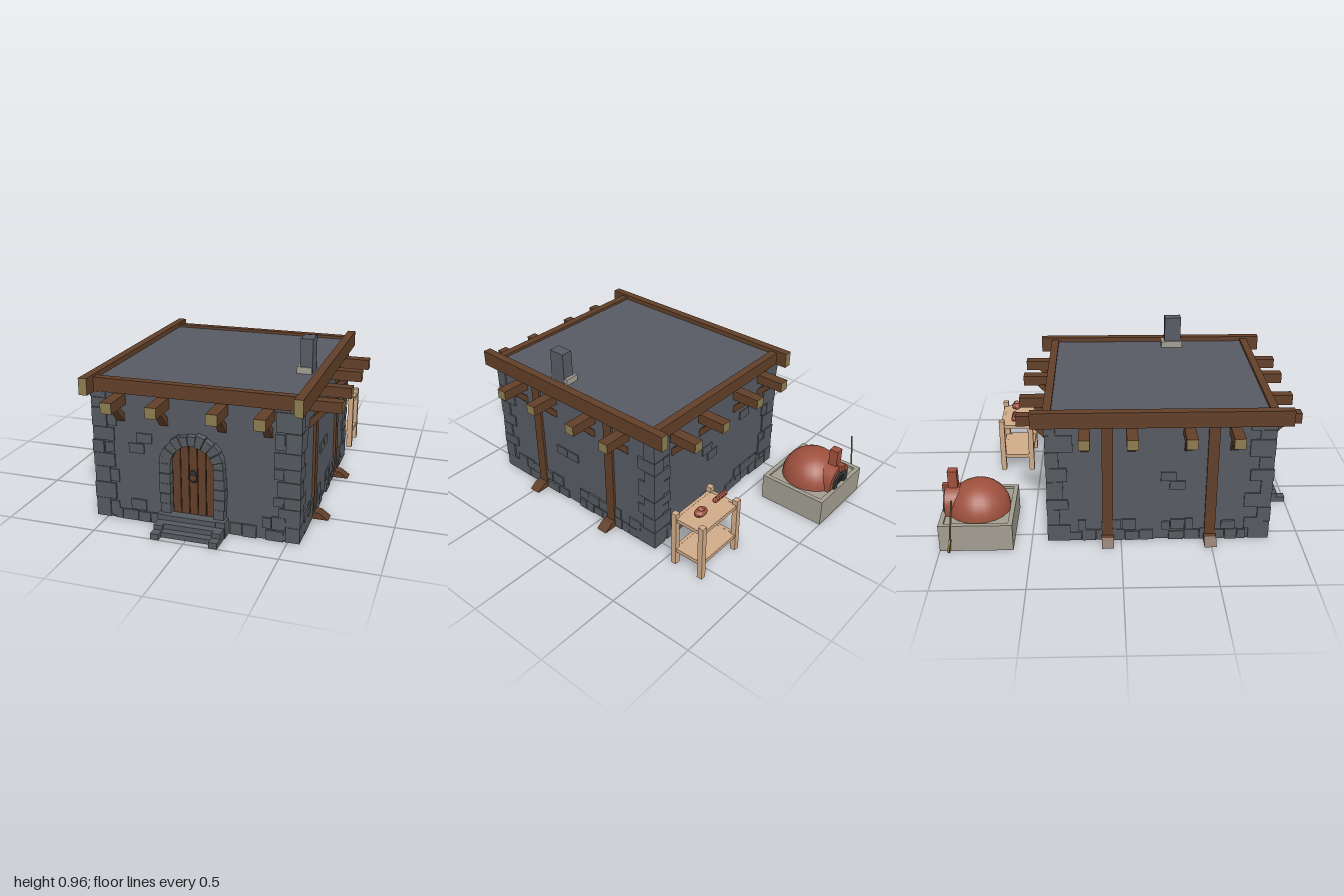
import * as THREE from 'three';

const mat = (name, color, extra = {}) => {
  const m = new THREE.MeshStandardMaterial({ color, flatShading: true, ...extra });
  m.name = name;
  return m;
};

export function createModel() {
  const M = {
    wall: mat('slate wall', 0x575a63),
    stone: mat('cut stone', 0x555a5f),
    wood: mat('dark wood', 0x613f28),
    endGrain: mat('end grain', 0x8d7c50),
    pale: mat('pale stone', 0xa19d90),
    brick: mat('red clay', 0x9e503d),
    tan: mat('light wood', 0xcfaa88),
    dark: mat('soot', 0x241c18),
    iron: mat('iron', 0x36393c),
  };
  const clay = mat('smooth clay', 0x9e503d);
  clay.flatShading = false;

  let seed = 11;
  const rnd = (a, b) => {
    seed = (seed * 16807) % 2147483647;
    return a + (b - a) * (seed / 2147483647);
  };
  const add = (parent, name, geo, m, x = 0, y = 0, z = 0) => {
    const o = new THREE.Mesh(geo, m);
    o.name = name;
    o.position.set(x, y, z);
    parent.add(o);
    return o;
  };
  // box given by its min and max corners
  const box = (p, name, m, x0, x1, y0, y1, z0, z1) =>
    add(p, name, new THREE.BoxGeometry(x1 - x0, y1 - y0, z1 - z0), m,
      (x0 + x1) / 2, (y0 + y1) / 2, (z0 + z1) / 2);
  const group = (p, name, x = 0, y = 0, z = 0, ry = 0) => {
    const g = new THREE.Group();
    g.name = name;
    g.position.set(x, y, z);
    g.rotation.y = ry;
    p.add(g);
    return g;
  };
  const extrude = (shape, depth) =>
    new THREE.ExtrudeGeometry(shape, { depth, bevelEnabled: false, curveSegments: 12 });
  const poly = (pts) => new THREE.Shape(pts.map(([x, y]) => new THREE.Vector2(x, y)));
  // profile (outward, up) extruded along the wall, centred on u
  const wallProfile = (p, name, pts, m, u, w) => {
    const o = add(p, name, extrude(poly(pts), w), m, u + w / 2, 0, 0);
    o.rotation.y = -Math.PI / 2;
    return o;
  };
  const archShape = (r, y0, yc) => {
    const s = new THREE.Shape();
    s.moveTo(-r, y0);
    s.lineTo(r, y0);
    s.lineTo(r, yc);
    s.absarc(0, yc, r, 0, Math.PI, false);
    s.lineTo(-r, y0);
    return s;
  };
  const endCapped = [M.wood, M.wood, M.wood, M.wood, M.endGrain, M.endGrain];

  const root = new THREE.Group();
  root.name = 'bakery';
  const house = group(root, 'house', 0, 0, 0.21);
  const HX = 0.555, HZ = 0.61;

  // four walls, each built facing outward along its local z
  const sides = [
    { name: 'front', ry: 0, half: HX, d: HZ, vigas: [-0.4, -0.16, 0.155, 0.395], posts: [],
      loose: [[-0.27, 0.475], [-0.315, 0.415]], gap: 0.19, fill: 0.4 },
    { name: 'left', ry: Math.PI / 2, half: HZ, d: HX, vigas: [-0.395, -0.15, 0.155, 0.405],
      posts: [-0.285, 0.285], loose: [[-0.1, 0.335], [-0.01, 0.335]], gap: 0, fill: 0.85 },
    { name: 'back', ry: Math.PI, half: HX, d: HZ, vigas: [-0.395, -0.155, 0.16, 0.4], posts: [],
      loose: [[-0.1, 0.43], [-0.05, 0.375], [0.25, 0.5]], gap: 0, fill: 0.6 },
    { name: 'right', ry: -Math.PI / 2, half: HZ, d: HX, vigas: [-0.405, -0.155, 0.15, 0.395],
      posts: [-0.285, 0.285], loose: [[0.05, 0.4], [0.1, 0.345]], gap: 0, fill: 0.85 },
  ];
  for (const s of sides) {
    const g = group(house, s.name + 'Wall', 0, 0, 0, s.ry);
    const { half, d } = s;
    box(g, 'wallPanel', M.wall, -half, half, 0, 0.72, d - 0.015, d);
    // ceiling beam ends with diagonal braces
    for (const u of s.vigas) {
      box(g, 'beamEnd', endCapped, u - 0.03, u + 0.03, 0.652, 0.71, d - 0.05, d + 0.168);
      wallProfile(g, 'brace',
        [[d - 0.01, 0.56], [d + 0.005, 0.56], [d + 0.095, 0.655], [d + 0.055, 0.655], [d - 0.01, 0.595]],
        M.wood, u, 0.042);
    }
    // wall posts with wedge feet
    for (const u of s.posts) {
      box(g, 'post', M.wood, u - 0.03, u + 0.03, 0, 0.72, d - 0.03, d + 0.014);
      wallProfile(g, 'postFoot',
        [[d - 0.02, 0], [d + 0.095, 0], [d + 0.045, 0.036], [d - 0.02, 0.036]], M.wood, u, 0.068);
    }
    // loose stones in the wall
    for (const [u, y] of s.loose)
      box(g, 'wallStone', M.stone, u - 0.045, u + 0.04, y - 0.025, y + 0.028, d - 0.03, d + 0.007);
    // two rough rows of stones along the foot
    for (let row = 0; row < 2; row++) {
      for (let u = -half + 0.1; u < half - 0.12;) {
        const w = rnd(0.045, 0.1), h = rnd(0.05, 0.07), mid = u + w / 2;
        const keep = rnd(0, 1) < s.fill + (row ? -0.1 : 0.3);
        if (keep && Math.abs(mid) > s.gap + w / 2)
          box(g, 'footStone', M.stone, u, u + w - 0.004, row * 0.066, row * 0.066 + h, d - 0.03, d + rnd(0.006, 0.012));
        u += w;
      }
    }
  }

  // irregular corner stones wrapping each corner
  for (const sx of [-1, 1]) for (const sz of [-1, 1]) {
    const g = group(house, 'cornerStones');
    for (let y = 0, i = 0; y < 0.7; i++) {
      const h = Math.min(rnd(0.05, 0.115), 0.712 - y);
      const a = i % 2 ? rnd(0.11, 0.14) : rnd(0.06, 0.09);
      const b = i % 2 ? rnd(0.06, 0.09) : rnd(0.11, 0.15);
      const o = rnd(0.007, 0.012), t = 0.04, H = h - 0.003, yc = y + h / 2;
      add(g, 'cornerStone', new THREE.BoxGeometry(a, H, t), M.stone,
        sx * (HX + o - a / 2), yc, sz * (HZ + o - t / 2));
      add(g, 'cornerStone', new THREE.BoxGeometry(t, H, b), M.stone,
        sx * (HX + o - t / 2), yc, sz * (HZ + o - b / 2));
      // smaller neighbour stone beside some courses
      if (i % 2 === 0 && h > 0.05)
        add(g, 'neighbourStone', new THREE.BoxGeometry(0.05, H * 0.8, t), M.stone,
          sx * (HX - a - 0.02), yc, sz * (HZ + 0.006 - t / 2));
      y += h;
    }
  }

  // flat roof framed by beams
  box(house, 'roof', M.wall, -0.545, 0.545, 0.7, 0.772, -0.595, 0.585);
  for (const s of [-1, 1]) {
    box(house, 'sideRoofBeam', endCapped, s * 0.563 - 0.023, s * 0.563 + 0.023, 0.71, 0.8, -0.69, 0.7);
    box(house, 'crossRoofBeam', M.wood, -0.54, 0.54, 0.713, 0.788, s * 0.603 - 0.022, s * 0.603 + 0.022);
  }

  // chimney with a collar open on one side
  const chimney = group(root, 'chimney');
  box(chimney, 'chimneyStack', M.wall, 0.445, 0.512, 0.74, 0.96, 0.3, 0.4);
  box(chimney, 'chimneyCollar', M.pale, 0.43, 0.445, 0.77, 0.81, 0.28, 0.41);
  box(chimney, 'chimneyCollar', M.pale, 0.445, 0.51, 0.77, 0.808, 0.28, 0.3);
  box(chimney, 'chimneyCollar', M.pale, 0.445, 0.51, 0.77, 0.808, 0.4, 0.41);

  // arched plank door
  const entry = group(root, 'entrance');
  add(entry, 'doorBacking', extrude(archShape(0.12, 0.08, 0.36), 0.03), M.dark, 0, 0, 0.797);
  const W = 0.046, R = 0.116, top = (x) => 0.36 + Math.sqrt(Math.max(0, R * R - x * x));
  for (let i = 0; i < 5; i++) {
    const x0 = -0.115 + i * W + 0.002, x1 = x0 + W - 0.004, xs = [1, 0.75, 0.5, 0.25, 0];
    const pts = [[x0, 0.085], [x1, 0.085], ...xs.map((t) => x0 + (x1 - x0) * t).map((x) => [x, top(x)])];
    add(entry, 'doorPlank', extrude(poly(pts), 0.012), M.wood, 0, 0, 0.823);
  }
  add(entry, 'doorRing', new THREE.TorusGeometry(0.023, 0.005, 6, 16), M.iron, 0, 0.298, 0.842);
  const boss = add(entry, 'ringMount', new THREE.CylinderGeometry(0.014, 0.016, 0.012, 8), M.iron, 0, 0.325, 0.84);
  boss.rotation.x = Math.PI / 2;

  // stone surround: jamb blocks and wedge stones
  for (const s of [-1, 1]) {
    for (let i = 0; i < 5; i++) {
      const w = rnd(0.052, 0.064), o = rnd(0, 0.006);
      add(entry, 'jambStone', new THREE.BoxGeometry(w, 0.053, 0.075), M.stone,
        s * (0.117 + w / 2), 0.117 + i * 0.056, 0.824 + o);
    }
  }
  const N = 11;
  for (let i = 0; i < N; i++) {
    const a0 = (Math.PI * i) / N + 0.01, a1 = (Math.PI * (i + 1)) / N - 0.01;
    const r = rnd(0.168, 0.182), p = (q, a) => [q * Math.cos(a), 0.36 + q * Math.sin(a)];
    add(entry, 'archStone', extrude(poly([p(0.117, a0), p(r, a0), p(r, a1), p(0.117, a1)]), 0.07 + rnd(0, 0.008)),
      M.stone, 0, 0, 0.787);
  }
  // steps between low curbs
  for (let i = 0; i < 3; i++)
    box(entry, 'step', M.stone, -0.135, 0.135, 0.03 * i, 0.03 * (i + 1) - 0.002, 0.79, 0.965 - i * 0.038);
  for (const s of [-1, 1]) {
    box(entry, 'curbBlock', M.stone, s * 0.16 - 0.025, s * 0.16 + 0.025, 0, 0.088, 0.79, 0.885);
    box(entry, 'curbBlock', M.stone, s * 0.158 - 0.023, s * 0.158 + 0.023, 0, 0.058, 0.887, 0.95);
    box(entry, 'curbBlock', M.stone, s * 0.158 - 0.023, s * 0.158 + 0.023, 0, 0.032, 0.95, 1);
  }

  // domed clay oven on a rimmed plinth, mouth at the back
  const oven = group(root, 'oven', -0.43, 0, -0.798, Math.PI);
  box(oven, 'ovenPlinth', M.pale, -0.22, 0.22, 0, 0.147, -0.202, 0.202);
  for (const s of [-1, 1]) {
    box(oven, 'plinthRim', M.pale, s * 0.207 - 0.013, s * 0.207 + 0.013, 0.14, 0.16, -0.202, 0.202);
    box(oven, 'plinthRim', M.pale, -0.2, 0.2, 0.14, 0.16, s * 0.189 - 0.013, s * 0.189 + 0.013);
  }
  const dome = add(oven, 'ovenDome',
    new THREE.SphereGeometry(0.178, 20, 10, 0, Math.PI * 2, 0, Math.PI / 2), clay, 0, 0.145, 0);
  dome.scale.y = 0.96;
  const ring = (r0, r1) => {
    const s = archShape(r1, 0.145, 0.19);
    s.holes.push(archShape(r0, 0.146, 0.19));
    return s;
  };
  add(oven, 'mouthArch', extrude(ring(0.07, 0.1), 0.08), M.brick, 0, 0, 0.1);
  add(oven, 'innerArch', extrude(ring(0.038, 0.07), 0.082), M.iron, 0, 0, 0.11);
  add(oven, 'mouth', extrude(archShape(0.039, 0.146, 0.19), 0.008), M.dark, 0, 0, 0.172);
  box(oven, 'ovenFlue', M.brick, -0.025, 0.025, 0.26, 0.388, 0.11, 0.162);
  box(oven, 'keystone', M.brick, -0.018, 0.018, 0.26, 0.3, 0.14, 0.198);

  // bread peel leaning by the oven
  const peel = group(root, 'breadPeel', -0.675, 0, -0.945);
  peel.rotation.x = 0.12;
  add(peel, 'peelHandle', new THREE.CylinderGeometry(0.005, 0.005, 0.28, 6), M.endGrain, 0, 0.198, 0);
  const blade = new THREE.Shape();
  blade.absellipse(0, 0.05, 0.031, 0.042, 0, Math.PI * 2);
  add(peel, 'peelBlade', extrude(blade, 0.01), M.endGrain, 0, 0, -0.005);

  // work table
  const table = group(root, 'table', 0.418, 0, -0.648);
  for (const sx of [-1, 1]) for (const sz of [-1, 1])
    add(table, 'tableLeg', new THREE.BoxGeometry(0.032, 0.346, 0.032), M.tan, sx * 0.149, 0.173, sz * 0.09);
  for (const y of [0.1, 0.308]) {
    box(table, 'shelf', M.tan, -0.148, 0.148, y - 0.005, y + 0.007, -0.088, 0.088);
    for (const s of [-1, 1]) {
      box(table, 'endRail', M.tan, s * 0.149 - 0.009, s * 0.149 + 0.009, y - 0.014, y + 0.008, -0.09, 0.09);
      box(table, 'sideRail', M.tan, -0.149, 0.149, y - 0.014, y + 0.008, s * 0.09 - 0.009, s * 0.09 + 0.009);
    }
  }
  // round loaf and a ridged long loaf
  const loaf = add(table, 'roundLoaf', new THREE.SphereGeometry(0.04, 12, 8), M.brick, 0.065, 0.353, -0.012);
  loaf.scale.set(1.1, 0.6, 0.75);
  add(table, 'loafTop', new THREE.SphereGeometry(0.02, 10, 6), M.brick, 0.065, 0.368, -0.012);
  for (let i = 0; i < 6; i++)
    add(table, 'longLoafSegment', new THREE.SphereGeometry(0.016, 8, 6), M.brick, -0.145 + i * 0.017, 0.355, -0.012);

  return root;
}
